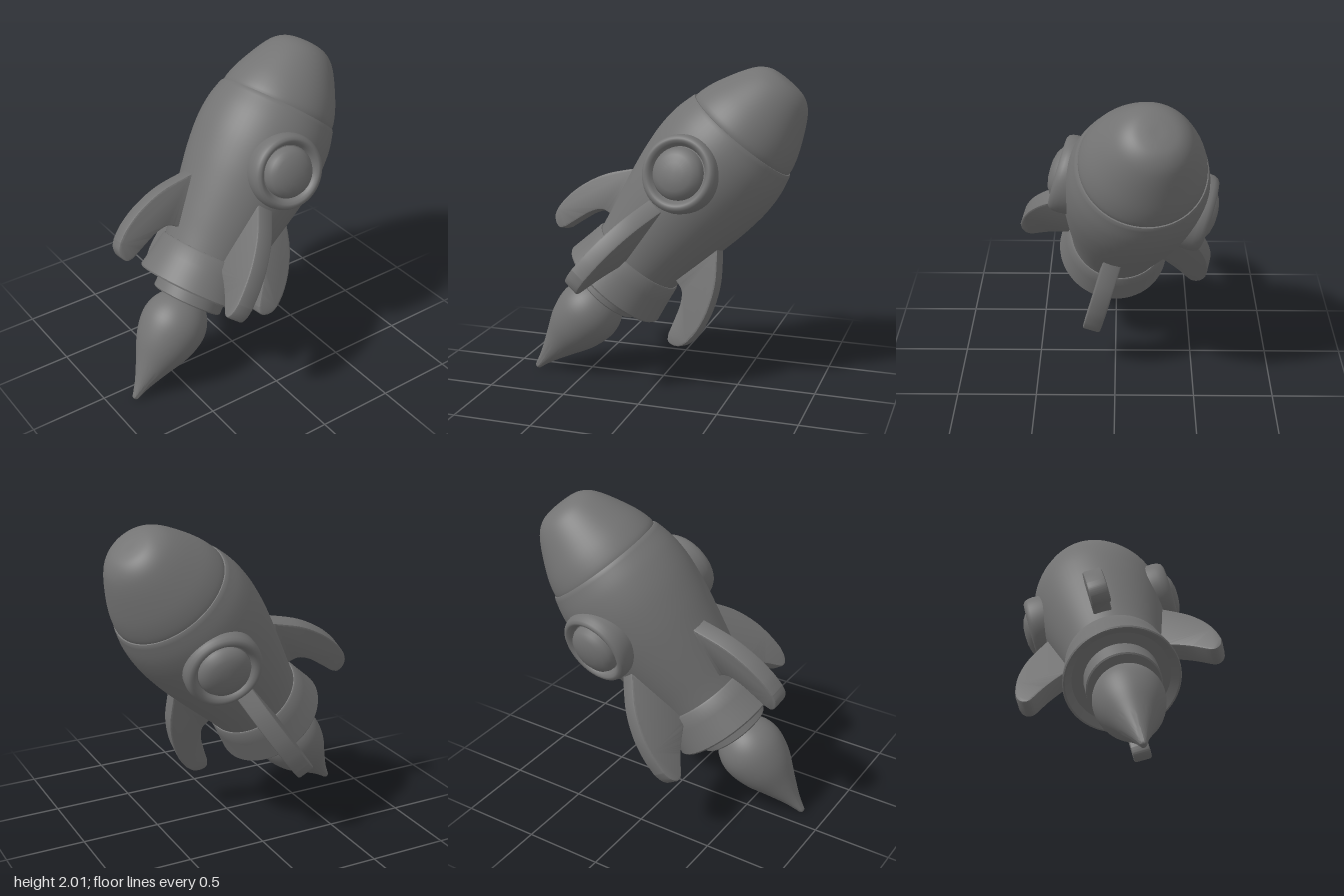
import * as THREE from 'three';
import { toCreasedNormals } from 'three/addons/utils/BufferGeometryUtils.js';

const material = new THREE.MeshStandardMaterial({ color: 0x737373 });
const V2 = (p) => new THREE.Vector2(p[0], p[1]);

function part(name, geometry, crease = 0.6) {
  const mesh = new THREE.Mesh(toCreasedNormals(geometry, crease), material);
  mesh.name = name;
  return mesh;
}

// Turned part from [radius, height] points, bottom to top; smooth runs a spline through them
function turned(points, smooth = false, sides = 64) {
  let profile = points.map(V2);
  if (smooth) profile = new THREE.SplineCurve(profile).getPoints(36);
  profile.forEach((p) => { p.x = Math.max(p.x, 0); });
  return new THREE.LatheGeometry(profile, sides);
}

// Swept-back fin in the radius/height plane, from its root, inner edge and tip
function finGeometry(root, inner, tip) {
  const s = new THREE.Shape();
  s.moveTo(0.22, root[1]);
  s.lineTo(...root);
  s.splineThru(inner.map(V2));
  s.splineThru(tip.map(V2));
  s.splineThru([[0.63, 0.2], [0.595, 0.34], [0.515, 0.5], [0.375, 0.67]].map(V2));
  s.lineTo(0.22, 0.67);
  const bevel = 0.012;
  const g = new THREE.ExtrudeGeometry(s, {
    depth: 0.09, curveSegments: 10, bevelEnabled: true,
    bevelThickness: bevel, bevelSize: bevel, bevelOffset: -bevel, bevelSegments: 2,
  });
  return g.translate(0, 0, -0.045);
}

// Round window facing +z: rounded frame with a domed pane
function porthole(name) {
  const g = new THREE.Group();
  g.name = name;
  const frame = turned([
    [0.222, 0.28], [0.235, 0.34], [0.24, 0.41], [0.236, 0.442], [0.226, 0.464], [0.21, 0.475],
    [0.196, 0.474], [0.18, 0.458], [0.166, 0.43], [0, 0.43],
  ]);
  const pane = turned([
    [0.16, 0.42], [0.16, 0.455], [0.145, 0.483], [0.11, 0.505], [0.06, 0.518], [0, 0.522],
  ]);
  g.add(part('windowFrame', frame.rotateX(Math.PI / 2), 0.75));
  g.add(part('windowPane', pane.rotateX(Math.PI / 2), 0.75));
  return g;
}

export function createModel() {
  const model = new THREE.Group();
  model.name = 'rocket';

  // Tilted frame: y runs along the hull, z points through the front window
  const rocket = new THREE.Group();
  rocket.name = 'tiltedRocket';
  const up = new THREE.Vector3(0.787, 0.99, -0.18).normalize();
  const out = new THREE.Vector3(-0.045, 0.115, 0.43);
  out.addScaledVector(up, -out.dot(up)).normalize();
  const side = new THREE.Vector3().crossVectors(up, out);
  rocket.quaternion.setFromRotationMatrix(new THREE.Matrix4().makeBasis(side, up, out));
  rocket.position.set(-0.325, 0.605, 0.02);
  model.add(rocket);

  // Hull, with a small lip where the nose sits
  const hull = new THREE.SplineCurve([
    [0.295, 0.2], [0.318, 0.33], [0.35, 0.48], [0.387, 0.66], [0.416, 0.83],
    [0.431, 1.0], [0.422, 1.15], [0.393, 1.27],
  ].map(V2)).getPoints(36).map((p) => [p.x, p.y]);
  rocket.add(part('hull', turned([...hull, [0.385, 1.282], [0.36, 1.282], [0, 1.27]])));

  // Blunt nose cone, leaning slightly back
  const nose = part('noseCone', turned([
    [0.37, -0.03], [0.377, 0.02], [0.352, 0.11], [0.307, 0.21], [0.25, 0.315],
    [0.2, 0.382], [0.14, 0.423], [0.07, 0.438], [0, 0.44],
  ], true));
  nose.position.y = 1.28;
  nose.rotation.x = -0.03;
  rocket.add(nose);

  // Flared collar with a shallow recess beneath
  rocket.add(part('collar', turned([
    [0, 0.04], [0.3, 0.04], [0.345, 0], [0.354, 0], [0.36, 0.01],
    [0.347, 0.08], [0.332, 0.16], [0.318, 0.245], [0.31, 0.255], [0.28, 0.255],
  ])));

  // Nozzle ring and exhaust flame
  rocket.add(part('nozzle', turned([
    [0, -0.085], [0.222, -0.085], [0.23, -0.077], [0.23, 0.07], [0, 0.07],
  ])));
  const flame = part('flame', turned([
    [0, -0.8], [0.018, -0.79], [0.03, -0.755], [0.057, -0.68], [0.115, -0.555], [0.18, -0.42],
    [0.211, -0.3], [0.208, -0.21], [0.175, -0.13], [0.12, -0.075], [0, -0.05],
  ], true), 1.0);
  flame.rotation.z = -0.05;
  rocket.add(flame);

  // Windows on opposite sides
  ['frontWindow', 'backWindow'].forEach((name, i) => {
    const w = porthole(name);
    w.position.y = 0.915;
    w.rotation.y = i * Math.PI;
    rocket.add(w);
  });

  // Four fins a quarter turn apart: hooked at the sides, fuller at front and back
  const hooked = finGeometry([0.31, 0.325],
    [[0.38, 0.305], [0.43, 0.24], [0.465, 0.15], [0.5, 0.045]],
    [[0.53, 0.01], [0.575, 0.015], [0.615, 0.05], [0.632, 0.1]]);
  const full = finGeometry([0.26, 0.23],
    [[0.32, 0.19], [0.39, 0.14], [0.46, 0.08], [0.53, 0.005]],
    [[0.56, -0.02], [0.595, -0.018], [0.625, 0.02], [0.64, 0.08]]);
  ['leftFin', 'frontFin', 'rightFin', 'backFin'].forEach((name, i) => {
    const mesh = part(name, i % 2 ? full : hooked);
    mesh.rotation.y = -i * Math.PI / 2;
    rocket.add(mesh);
  });

  return model;
}
